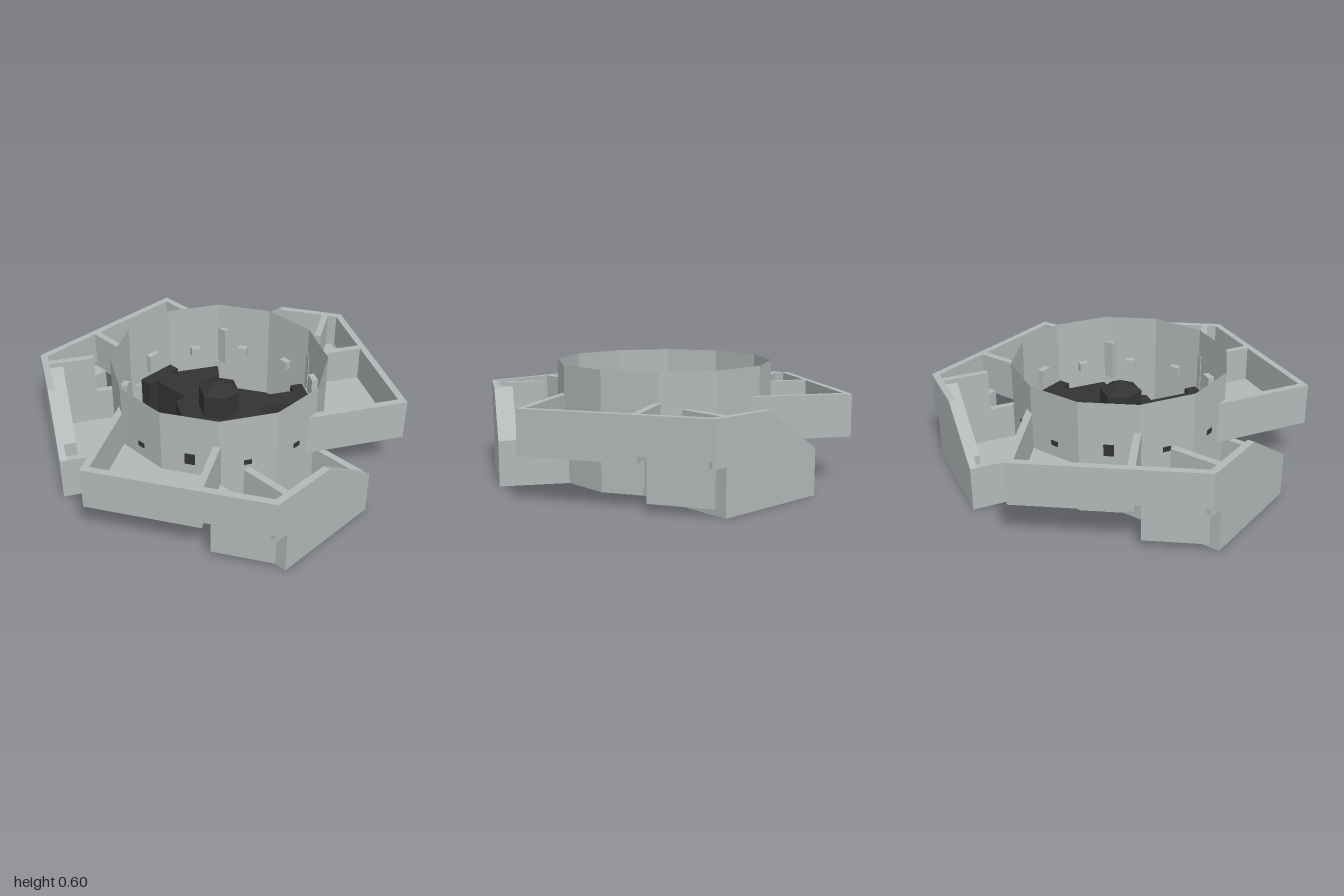
import * as THREE from 'three';

const hull = new THREE.MeshStandardMaterial({ color: 0xb2b7b7, side: THREE.DoubleSide });
hull.name = 'hull grey';
const dark = new THREE.MeshStandardMaterial({ color: 0x333333 });
dark.name = 'deck charcoal';

function add(parent, name, geo, mat) {
  const m = new THREE.Mesh(geo, mat);
  m.name = name;
  parent.add(m);
  return m;
}

// Box given by its limits
function block(parent, name, mat, x0, x1, y0, y1, z0, z1) {
  const g = new THREE.BoxGeometry(x1 - x0, y1 - y0, z1 - z0);
  g.translate((x0 + x1) / 2, (y0 + y1) / 2, (z0 + z1) / 2);
  return add(parent, name, g, mat);
}

// Horizontal plate from an [x, z] outline
function slab(parent, name, mat, pts, y0, y1) {
  const s = new THREE.Shape(pts.map(([x, z]) => new THREE.Vector2(x, -z)));
  const g = new THREE.ExtrudeGeometry(s, { depth: y1 - y0, bevelEnabled: false });
  g.rotateX(-Math.PI / 2).translate(0, y0, 0);
  return add(parent, name, g, mat);
}

// Upright plate facing +x from a [z, y] outline
function panel(parent, name, mat, pts, xOuter, depth) {
  const s = new THREE.Shape(pts.map(([z, y]) => new THREE.Vector2(z, y)));
  const g = new THREE.ExtrudeGeometry(s, { depth, bevelEnabled: false });
  g.rotateY(-Math.PI / 2).translate(xOuter, 0, 0);
  return add(parent, name, g, mat);
}

const R = 0.5635;   // corner radius of the twelve-sided drum
const U = 0.878;    // distance of the outer walls from the axis
const T = 0.036;    // wall thickness
const TOP = 0.45, MID = 0.23;

// Raised tray, its outer wall and the hatch beneath
function upperBay() {
  const g = new THREE.Group();
  g.name = 'upperBay';
  slab(g, 'upperFloor', hull, [[U, -0.155], [0.543, -0.155], [0.545, 0.146],
    [0.398, 0.398], [0.343, 0.43], [U, 0.43]], MID, MID + 0.03);
  panel(g, 'upperOuterWall', hull, [[0.43, MID], [0.43, TOP], [-0.507, TOP], [-0.507, MID],
    [-0.495, MID], [-0.495, 0.265], [-0.155, 0.265], [-0.155, MID]], U, T);
  block(g, 'upperSideWall', hull, 0.345, U, MID, TOP, 0.43 - T, 0.43);
  block(g, 'upperEndWall', hull, 0.54, U, MID, TOP, -0.155, -0.155 + T);
  block(g, 'hatch', hull, 0.735, 0.825, 0.04, 0.265, -0.495, -0.18);
  return g;
}

// Deep tray with a sloping outer wall
function lowerBay() {
  const g = new THREE.Group();
  g.name = 'lowerBay';
  slab(g, 'lowerFloor', hull, [[U, 0.436], [0.332, 0.436], [0.398, 0.398], [0.545, 0.146],
    [0.545, -0.146], [0.527, -0.176], [U, -0.176]], 0, 0.04);
  panel(g, 'lowerOuterWall', hull, [[0.507, TOP], [0.507, MID], [0.436, MID], [0.436, 0],
    [-0.176, 0], [-0.176, MID], [0.153, TOP]], U, T);
  block(g, 'lowerSideWall', hull, 0.53, U, 0, MID, -0.176, -0.176 + T);
  block(g, 'lowerEndWall', hull, 0.34, U, 0, MID, 0.436 - T, 0.436);
  block(g, 'lowerEndRise', hull, 0.6, 0.845, MID, TOP, 0.436 - T, 0.436);
  panel(g, 'ramp', hull, [[0.42, 0.04], [0.42, 0.44], [0.04, 0.17], [0.04, 0.04]], 0.845, 0.075);
  g.rotation.y = Math.PI / 3;
  return g;
}

// Walkway and sloped console inside the drum
function deckSector() {
  const g = new THREE.Group();
  g.name = 'deckSector';
  block(g, 'walkway', dark, 0.18, 0.45, 0.05, 0.28, -0.055, 0.055);
  block(g, 'walkwayLanding', dark, 0.44, 0.505, 0.05, 0.28, -0.11, 0.11);
  const s = new THREE.Shape([[0.44, 0.05], [0.53, 0.05], [0.53, 0.2], [0.505, 0.2]]
    .map(([x, y]) => new THREE.Vector2(x, y)));
  const c = new THREE.ExtrudeGeometry(s, { depth: 0.26, bevelEnabled: false });
  c.translate(0, 0, -0.13);
  add(g, 'console', c, dark).rotation.y = Math.PI / 2;
  return g;
}

export function createModel() {
  const root = new THREE.Group();
  root.name = 'station';
  const body = new THREE.Group();
  body.name = 'body';
  body.position.z = -0.02;
  root.add(body);

  // Open twelve-sided drum with its dark base
  const drum = new THREE.CylinderGeometry(R, R, 0.6, 12, 1, true, Math.PI / 12).toNonIndexed();
  drum.translate(0, 0.3, 0).computeVertexNormals();
  add(body, 'drumWall', drum, hull);
  const base = new THREE.CylinderGeometry(R - 0.002, R - 0.002, 0.05, 12, 1, false, Math.PI / 12).toNonIndexed();
  base.translate(0, 0.025, 0).computeVertexNormals();
  add(body, 'drumBase', base, dark);

  // Wall fittings, larger ones at the walkways
  for (let k = 0; k < 12; k++) {
    const f = new THREE.Group();
    f.name = 'wallFitting';
    const big = k % 4 === 0;
    const [y0, y1, w] = big ? [0.28, 0.39, 0.032] : [0.3, 0.35, 0.025];
    block(f, 'fittingBody', hull, 0.51, 0.544, y0, y1, -w, w);
    block(f, 'fittingPort', dark, 0.544, 0.549, 0.32, big ? 0.38 : 0.345, -w * 0.8, w * 0.8);
    f.rotation.y = k * Math.PI / 6;
    body.add(f);
  }

  // Central hexagonal platform and domed core
  const hex = new THREE.CylinderGeometry(0.24, 0.24, 0.23, 6).toNonIndexed();
  hex.translate(0, 0.165, 0).computeVertexNormals();
  add(body, 'platform', hex, dark);
  const core = new THREE.CylinderGeometry(0.11, 0.11, 0.13, 6).toNonIndexed();
  core.translate(0, 0.345, 0).computeVertexNormals();
  add(body, 'core', core, dark);
  const cap = new THREE.ConeGeometry(0.11, 0.055, 6, 1, true).toNonIndexed();
  cap.translate(0, 0.4375, 0).computeVertexNormals();
  add(body, 'coreCap', cap, dark);

  // Threefold arms
  for (let k = 0; k < 3; k++) {
    const arm = new THREE.Group();
    arm.name = 'arm';
    arm.add(upperBay(), lowerBay(), deckSector());
    arm.rotation.y = k * Math.PI * 2 / 3;
    body.add(arm);
  }
  return root;
}
